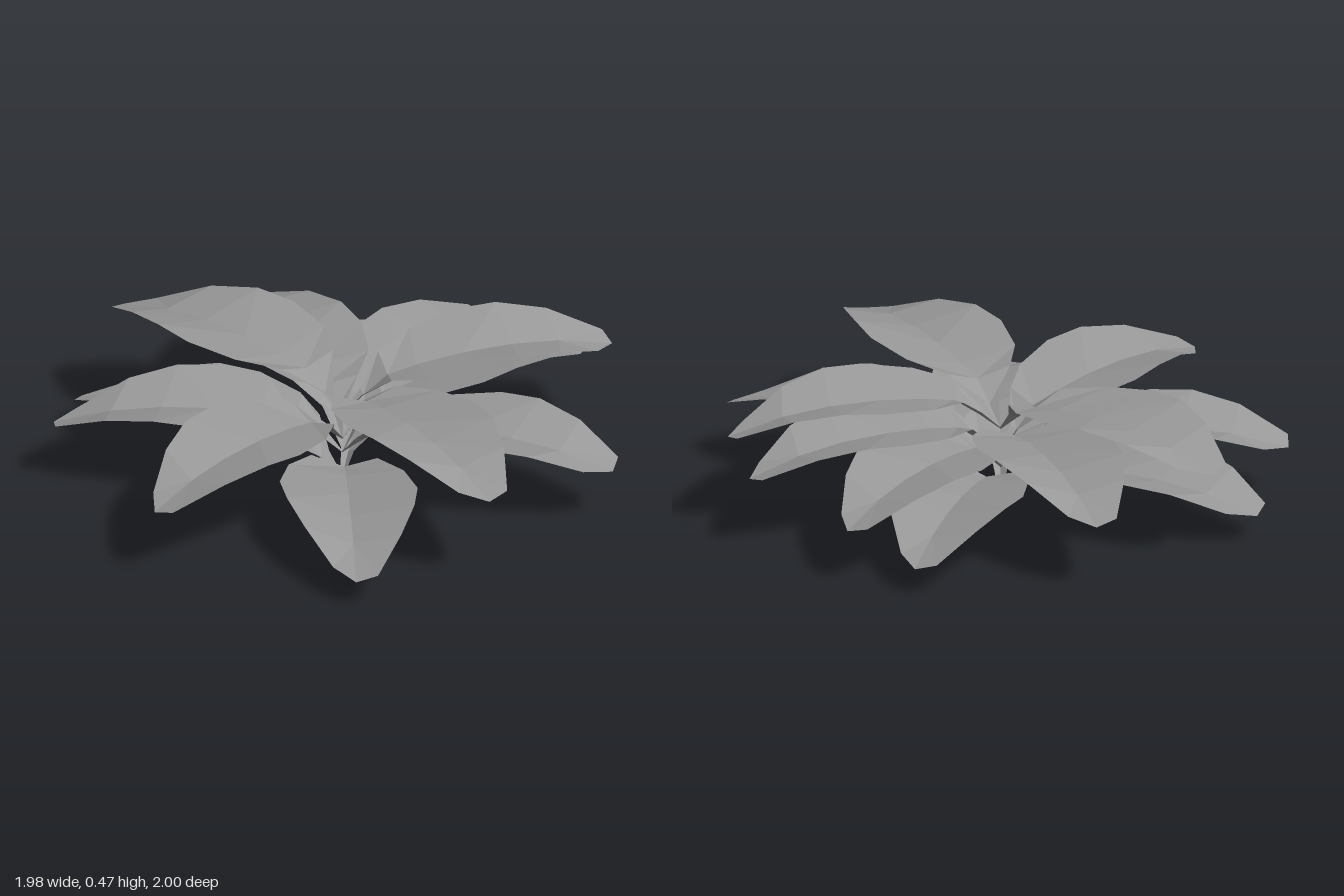
import * as THREE from 'three';

// Leaf cross-sections from base to tip:
// [midrib distance, midrib height, edge distance, edge height, half width]
const SECTIONS = [
  [0.00, 0.000, 0.00, 0.005, 0.006],
  [0.08, 0.066, 0.07, 0.080, 0.026],
  [0.17, 0.130, 0.16, 0.165, 0.115],
  [0.28, 0.150, 0.29, 0.188, 0.200],
  [0.45, 0.166, 0.47, 0.212, 0.240],
  [0.63, 0.167, 0.62, 0.222, 0.222],
  [0.81, 0.150, 0.79, 0.194, 0.168],
  [1.01, 0.102, 0.965, 0.122, 0.077],
];

// Channelled leaf lying along +x: a low midrib with two raised edges,
// one edge running a little further forward than the other
function leafGeometry() {
  const positions = [];
  const index = [];
  SECTIONS.forEach(([midX, midY, edgeX, edgeY, w]) => {
    const skew = 0.037 * Math.min(1, edgeX * 3);
    positions.push(edgeX + skew, edgeY, -w, midX, midY, 0, edgeX - skew, edgeY, w);
  });
  for (let i = 0; i < SECTIONS.length - 1; i++) {
    for (let j = 0; j < 2; j++) {
      const a = i * 3 + j, b = a + 1, c = a + 3, d = a + 4;
      // mirror the diagonal on the two halves
      if (j === 0) index.push(a, b, c, b, d, c);
      else index.push(a, b, d, a, d, c);
    }
  }
  const geometry = new THREE.BufferGeometry();
  geometry.setAttribute('position', new THREE.Float32BufferAttribute(positions, 3));
  geometry.setIndex(index);
  geometry.computeVertexNormals();
  return geometry;
}

export function createModel() {
  const plant = new THREE.Group();
  plant.name = 'leafyPlant';
  const material = new THREE.MeshStandardMaterial({
    color: 0x999999, flatShading: true, side: THREE.DoubleSide,
  });
  const geometry = leafGeometry();

  // Stacked whorls: [base height, turn in degrees]
  const whorls = [[0, 56.8], [0.1, -38], [0.153, 13.5], [0.245, 283]];
  // Unequal spacing of the three leaves in a whorl
  const spread = [0, 80, 198.3];

  whorls.forEach(([height, turn], w) => {
    const whorl = new THREE.Group();
    whorl.name = `leafWhorl${w + 1}`;
    whorl.position.set(-0.017, height, 0.003);
    whorl.rotation.y = THREE.MathUtils.degToRad(turn);
    spread.forEach((angle, i) => {
      const leaf = new THREE.Mesh(geometry, material);
      leaf.name = `leaf${i + 1}`;
      leaf.rotation.y = THREE.MathUtils.degToRad(angle);
      whorl.add(leaf);
    });
    plant.add(whorl);
  });
  return plant;
}
